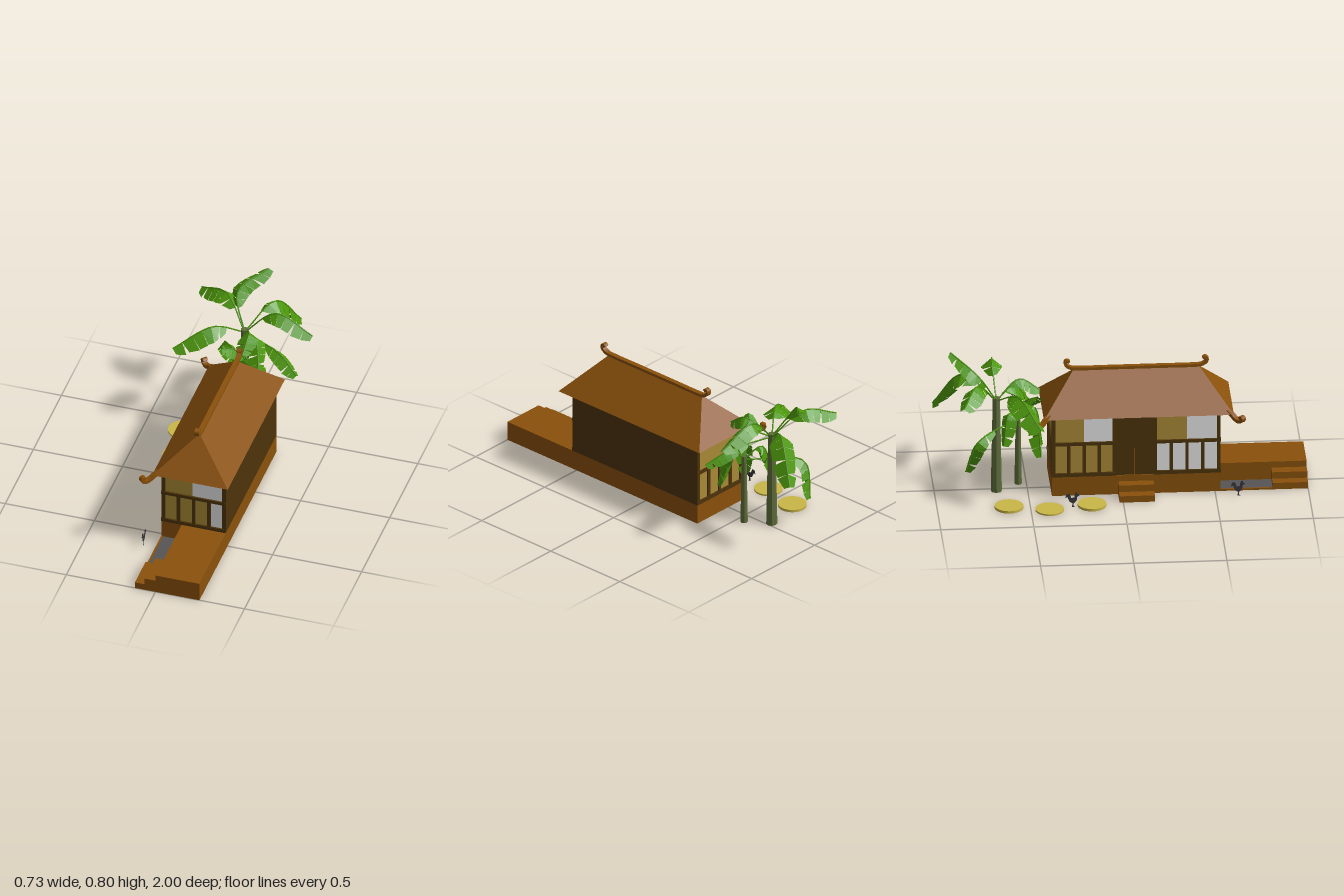
import * as THREE from 'three';

const mat = (name, color, double) => {
  const m = new THREE.MeshStandardMaterial({ color });
  m.name = name;
  if (double) m.side = THREE.DoubleSide;
  return m;
};
const V = (a) => new THREE.Vector3(...a);

export function createModel() {
  const wood = mat('warm brown wood', 0x8a510b);
  const dark = mat('dark timber', 0x4d3309);
  const paper = mat('tan paper', 0xaa8b36);
  const white = mat('white paper', 0xf2f2f2);
  const stone = mat('yellow stone', 0xcab646);
  const grey = mat('grey slab', 0x575455);
  const leaf = mat('leaf green', 0x4c960b, true);
  const bark = mat('trunk olive', 0x5f6d3c);
  const feather = mat('rooster dark grey', 0x38363a);

  const root = new THREE.Group();
  root.name = 'gardenHouse';
  const add = (parent, name, geo, m) => {
    const mesh = new THREE.Mesh(geo, m);
    mesh.name = name;
    parent.add(mesh);
    return mesh;
  };
  // box given by its min and max on each axis
  const box = (parent, name, m, x0, x1, y0, y1, z0, z1) => {
    const b = add(parent, name, new THREE.BoxGeometry(x1 - x0, y1 - y0, z1 - z0), m);
    b.position.set((x0 + x1) / 2, (y0 + y1) / 2, (z0 + z1) / 2);
    return b;
  };
  // flat-shaded geometry from a list of triangle corners
  const facets = (pts) => {
    const g = new THREE.BufferGeometry().setFromPoints(pts);
    g.computeVertexNormals();
    return g;
  };

  // Plinth, terrace, slab and steps
  box(root, 'plinth', wood, -0.115, 0.247, 0, 0.11, -0.375, 0.53);
  box(root, 'terrace', wood, 0, 0.247, 0, 0.11, 0.53, 1);
  box(root, 'slabRim', wood, -0.115, -0.105, 0, 0.01, 0.53, 0.81);
  box(root, 'slab', grey, -0.105, 0, 0, 0.008, 0.53, 0.81);
  const steps = (xOuter, xMid, xInner, z0, z1) => {
    box(root, 'lowerStep', wood, xOuter, xMid, 0, 0.037, z0, z1);
    box(root, 'upperStep', wood, xMid, xInner, 0, 0.075, z0, z1);
  };
  steps(-0.115, -0.06, 0, 0.81, 1);
  steps(-0.225, -0.17, -0.115, -0.02, 0.17);

  // One framed bay facing local +z: four lower panels, two upper ones meeting at the split
  const bay = (parent, x, w, lower, upper, split = 0.5) => {
    const d = -0.02, x0 = x + 0.01, inner = w - 0.02;
    for (const px of [x, x + w - 0.02]) box(parent, 'post', dark, px, px + 0.02, 0.11, 0.46, d, 0);
    box(parent, 'sill', dark, x, x + w, 0.11, 0.13, d, 0.002);
    box(parent, 'midRail', dark, x, x + w, 0.292, 0.31, d, 0.002);
    lower.forEach((m, i) => {
      const a = x0 + (i * inner) / 4;
      box(parent, 'lowerPanel', m, a, a + inner / 4, 0.13, 0.292, -0.016, -0.008);
      if (i) box(parent, 'mullion', dark, a - 0.009, a + 0.009, 0.13, 0.292, d, 0);
    });
    const s = x0 + inner * split;
    box(parent, 'upperPanel', upper[0], x0, s, 0.31, 0.46, -0.016, -0.008);
    box(parent, 'upperPanel', upper[1], s, x0 + inner, 0.31, 0.46, -0.016, -0.008);
  };
  const wall = (name, x, z, turn) => {
    const g = new THREE.Group();
    g.name = name;
    g.position.set(x, 0, z);
    g.rotation.y = turn;
    root.add(g);
    return g;
  };
  bay(wall('frontWall', -0.115, 0.53, 0), 0, 0.362, [paper, paper, paper, white], [paper, white], 0.474);
  bay(wall('backWall', 0.247, -0.375, Math.PI), 0, 0.362, [paper, paper, paper, paper], [paper, paper]);
  const side = wall('entranceWall', -0.115, -0.375, -Math.PI / 2);
  bay(side, 0, 0.345, [paper, paper, paper, paper], [paper, white]);
  bay(side, 0.545, 0.36, [white, white, white, white], [paper, white]);
  box(side, 'doorLeaf', dark, 0.345, 0.444, 0.11, 0.46, -0.016, -0.006);
  box(side, 'doorLeaf', dark, 0.446, 0.545, 0.11, 0.46, -0.016, -0.006);
  box(root, 'solidWall', dark, 0.235, 0.247, 0.11, 0.46, -0.375, 0.53);

  // Hipped roof
  const [a, b, c, d] = [[-0.145, 0.46, 0.6], [0.28, 0.46, 0.6], [0.28, 0.46, -0.42], [-0.145, 0.46, -0.42]].map(V);
  const e = V([0.067, 0.662, 0.425]), f = V([0.067, 0.662, -0.245]);
  add(root, 'roof', facets([a, b, e, b, c, f, b, f, e, c, d, f, d, a, e, d, e, f, a, d, c, a, c, b]), wood);

  // Curled strip: a path in local x/y, given thickness and width
  const ribbon = (name, path, thick, width) => {
    const curve = new THREE.CatmullRomCurve3(path.map(([x, y]) => new THREE.Vector3(x, y, 0)));
    const top = [], bottom = [], n = 28;
    for (let i = 0; i <= n; i++) {
      const p = curve.getPoint(i / n), t = curve.getTangent(i / n);
      top.push(new THREE.Vector2(p.x - t.y * thick / 2, p.y + t.x * thick / 2));
      bottom.unshift(new THREE.Vector2(p.x + t.y * thick / 2, p.y - t.x * thick / 2));
    }
    const g = new THREE.ExtrudeGeometry(new THREE.Shape([...top, ...bottom]), { depth: width, bevelEnabled: false });
    return add(root, name, g.translate(0, 0, -width / 2), wood);
  };
  const ridgeHalf = [[0, 0.666], [0.15, 0.666], [0.3, 0.666], [0.35, 0.67], [0.378, 0.688], [0.38, 0.706], [0.368, 0.711], [0.36, 0.703]];
  for (const turn of [-1, 1]) {
    const r = ribbon('ridge', ridgeHalf, 0.016, 0.027);
    r.position.set(0.067, 0, 0.09);
    r.rotation.y = turn * Math.PI / 2;
  }
  const eaveCurl = [[-0.045, 0.473], [-0.015, 0.459], [0.01, 0.443], [0.035, 0.435], [0.056, 0.441], [0.063, 0.456], [0.052, 0.462], [0.045, 0.455]];
  for (const [z, turn] of [[0.6, -0.75], [-0.42, 0.75]]) {
    const curl = ribbon('eaveCurl', eaveCurl, 0.018, 0.028);
    curl.position.set(-0.145, 0, z);
    curl.rotation.y = turn * Math.PI;
  }

  // Round stepping stones
  for (const [x, z, h] of [[-0.245, -0.615, 0.014], [-0.29, -0.4, 0.009], [-0.25, -0.17, 0.014]]) {
    add(root, 'steppingStone', new THREE.CylinderGeometry(0.077, 0.077, h, 32), stone).position.set(x, h / 2, z);
  }

  // Flat roosters, facing along z
  const outline = [[-0.004, 0], [0.012, 0], [0.004, 0.005], [0.005, 0.022], [0.02, 0.035], [0.024, 0.06], [0.036, 0.068],
    [0.026, 0.076], [0.022, 0.088], [0.012, 0.08], [0.008, 0.056], [-0.008, 0.052], [-0.018, 0.078], [-0.034, 0.076],
    [-0.04, 0.055], [-0.028, 0.058], [-0.018, 0.032], [-0.002, 0.022]].map(([x, y]) => new THREE.Vector2(x, y));
  const bird = new THREE.ExtrudeGeometry(new THREE.Shape(outline), { depth: 0.002, bevelEnabled: false }).translate(0, 0, -0.001);
  for (const [x, y, z] of [[-0.28, 0.009, -0.275], [-0.185, 0.003, 0.62]]) {
    const r = add(root, 'rooster', bird, feather);
    r.position.set(x, y, z);
    r.rotation.y = -Math.PI / 2;
  }

  // Banana frond: a stalk with a broad, torn, folded blade along a curve
  const frond = (parent, start, mid, end, half) => {
    const curve = new THREE.CatmullRomCurve3([start, mid, end].map(V));
    const out = V(end).sub(V(start)).setY(0).normalize();
    const across = out.cross(new THREE.Vector3(0, 1, 0));
    const n = 6, t0 = 0.28, pts = [];
    const edge = (t, s, w) => {
      const up = across.clone().cross(curve.getTangent(t));
      return curve.getPoint(t).addScaledVector(across, s * w * 0.76).addScaledVector(up, -w * 0.62);
    };
    const width = (u) => half * Math.min(1, 0.4 + 2.6 * u, 0.45 + 2 * (1 - u));
    for (let i = 0; i < n; i++) {
      const u0 = i / n, u1 = (i + 1) / n, ta = t0 + (1 - t0) * u0, tb = t0 + (1 - t0) * u1;
      for (const s of [-1, 1]) {
        const p = curve.getPoint(ta), q = curve.getPoint(tb);
        const shift = (i * 7 + (s > 0 ? 3 : 0)) % 4 * 0.008;
        const pe = edge(Math.min(1, ta + 0.01 + shift), s, width(u0));
        const qe = edge(Math.min(1, tb + shift - 0.005), s, width(u1) * (0.96 + shift));
        if (s > 0) pts.push(p, pe, q, q, pe, qe);
        else pts.push(p, q, pe, q, qe, pe);
      }
    }
    add(parent, 'frondBlade', facets(pts), leaf);
    add(parent, 'frondStalk', new THREE.TubeGeometry(curve, 12, 0.004, 5), leaf);
  };
  const palm = (name, x, z, h, r, fronds) => {
    const g = new THREE.Group();
    g.name = name;
    root.add(g);
    const trunk = new THREE.CylinderGeometry(r * 0.65, r, h, 8).toNonIndexed();
    trunk.computeVertexNormals();
    add(g, 'trunk', trunk, bark).position.set(x, h / 2, z);
    for (const [mid, end, half] of fronds) frond(g, [x, h - 0.02, z], mid, end, half);
  };
  palm('tallBananaTree', -0.025, -0.667, 0.55, 0.03, [
    [[-0.16, 0.68, -0.78], [-0.325, 0.625, -0.86], 0.08],
    [[0.09, 0.64, -0.84], [0.19, 0.43, -0.995], 0.085],
    [[0.15, 0.685, -0.68], [0.36, 0.595, -0.66], 0.075],
    [[-0.095, 0.71, -0.77], [0.035, 0.795, -0.91], 0.07],
    [[-0.17, 0.61, -0.56], [-0.36, 0.5, -0.45], 0.09],
    [[0.2, 0.505, -0.57], [0.32, 0.435, -0.5], 0.06],
    [[0.04, 0.625, -0.54], [0.04, 0.56, -0.43], 0.07],
    [[0.07, 0.57, -0.57], [0.12, 0.44, -0.46], 0.07],
  ]);
  palm('smallBananaTree', 0.06, -0.544, 0.4, 0.02, [
    [[-0.17, 0.36, -0.77], [-0.14, 0.17, -0.84], 0.06],
    [[-0.03, 0.43, -0.46], [-0.07, 0.21, -0.43], 0.06],
    [[0.08, 0.44, -0.46], [0.12, 0.2, -0.41], 0.065],
    [[-0.02, 0.45, -0.6], [-0.07, 0.28, -0.63], 0.06],
    [[0.11, 0.45, -0.5], [0.15, 0.32, -0.45], 0.06],
    [[-0.02, 0.52, -0.51], [-0.08, 0.57, -0.45], 0.06],
  ]);
  return root;
}
